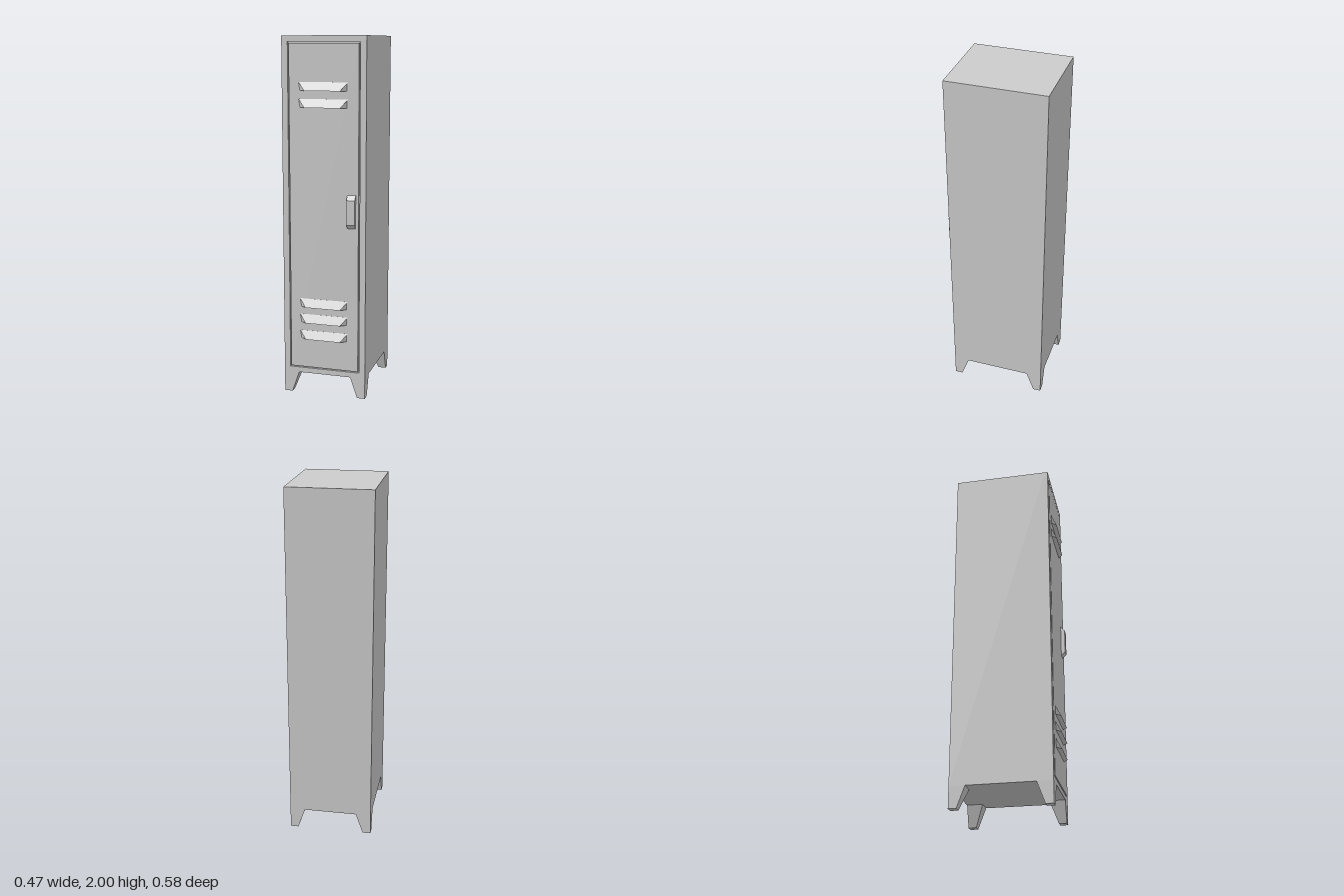
import * as THREE from 'three';

const material = new THREE.MeshStandardMaterial({ color: 0xcccccc, flatShading: true });

// A box between two corners whose vertices are then moved by a rule.
function shapedBox(min, max, rule) {
  const size = max.map((v, i) => v - min[i]);
  const geometry = new THREE.BoxGeometry(...size);
  geometry.translate(...min.map((v, i) => v + size[i] / 2));
  if (rule) {
    const p = geometry.attributes.position;
    const v = new THREE.Vector3();
    for (let i = 0; i < p.count; i++) {
      rule(v.fromBufferAttribute(p, i));
      p.setXYZ(i, v.x, v.y, v.z);
    }
    geometry.computeVertexNormals();
  }
  return geometry;
}

export function createModel() {
  const group = new THREE.Group();
  const add = (name, geometry) => {
    const mesh = new THREE.Mesh(geometry, material);
    mesh.name = name;
    group.add(mesh);
  };

  const W = 0.236, BACK = -0.289, FRONT = 0.26, BASE = 0.118, TOP = 2;
  const GROOVE = 0.015;

  // Cabinet body, up to the floor of the groove around the door
  add('cabinet', shapedBox([-W, BASE, BACK], [W, TOP, FRONT - GROOVE]));

  // Front frame with the door opening
  const rect = (Type, x, y0, y1) => new Type([[-x, y0], [x, y0], [x, y1], [-x, y1]].map(p => new THREE.Vector2(...p)));
  const frame = rect(THREE.Shape, W, BASE, TOP);
  frame.holes.push(rect(THREE.Path, 0.202, 0.148, 1.967));
  const frameGeometry = new THREE.ExtrudeGeometry(frame, { depth: GROOVE, bevelEnabled: false });
  frameGeometry.translate(0, 0, FRONT - GROOVE);
  add('doorFrame', frameGeometry);

  // Door panel, standing free of the frame by a narrow groove
  add('door', shapedBox([-0.195, 0.155, FRONT - GROOVE], [0.195, 1.96, FRONT + 0.001]));

  // Louvres: the lower lip stands out and is narrower than the base
  for (const y of [1.71, 1.62, 0.51, 0.42, 0.325]) {
    add('louvre', shapedBox([-0.138, y, 0.255], [0.138, y + 0.046, 0.287], v => {
      if (v.z > 0.27) {
        if (v.y > y + 0.02) v.z = 0.2615;
        else v.x -= Math.sign(v.x) * 0.039;
      }
      v.x -= 0.002;
    }));
  }

  // Handle with sloped ends
  add('handle', shapedBox([0.133, 0.963, 0.255], [0.18, 1.16, 0.284], v => {
    if (v.z > 0.27) v.y += v.y > 1 ? -0.032 : 0.03;
  }));

  // Four feet, tapering on their two inner sides
  for (const sx of [-1, 1]) {
    for (const sz of [-1, 1]) {
      const outer = sz > 0 ? FRONT : BACK;
      const x0 = sx * W, x1 = sx * 0.15, z1 = outer - sz * 0.088;
      add('foot', shapedBox(
        [Math.min(x0, x1), 0, Math.min(outer, z1)],
        [Math.max(x0, x1), BASE, Math.max(outer, z1)],
        v => {
          if (v.y > 0.01) return;
          if (Math.abs(v.x) < 0.2) v.x += sx * 0.041;
          if (Math.abs(v.z - outer) > 0.01) v.z += sz * 0.044;
        }));
    }
  }
  return group;
}
